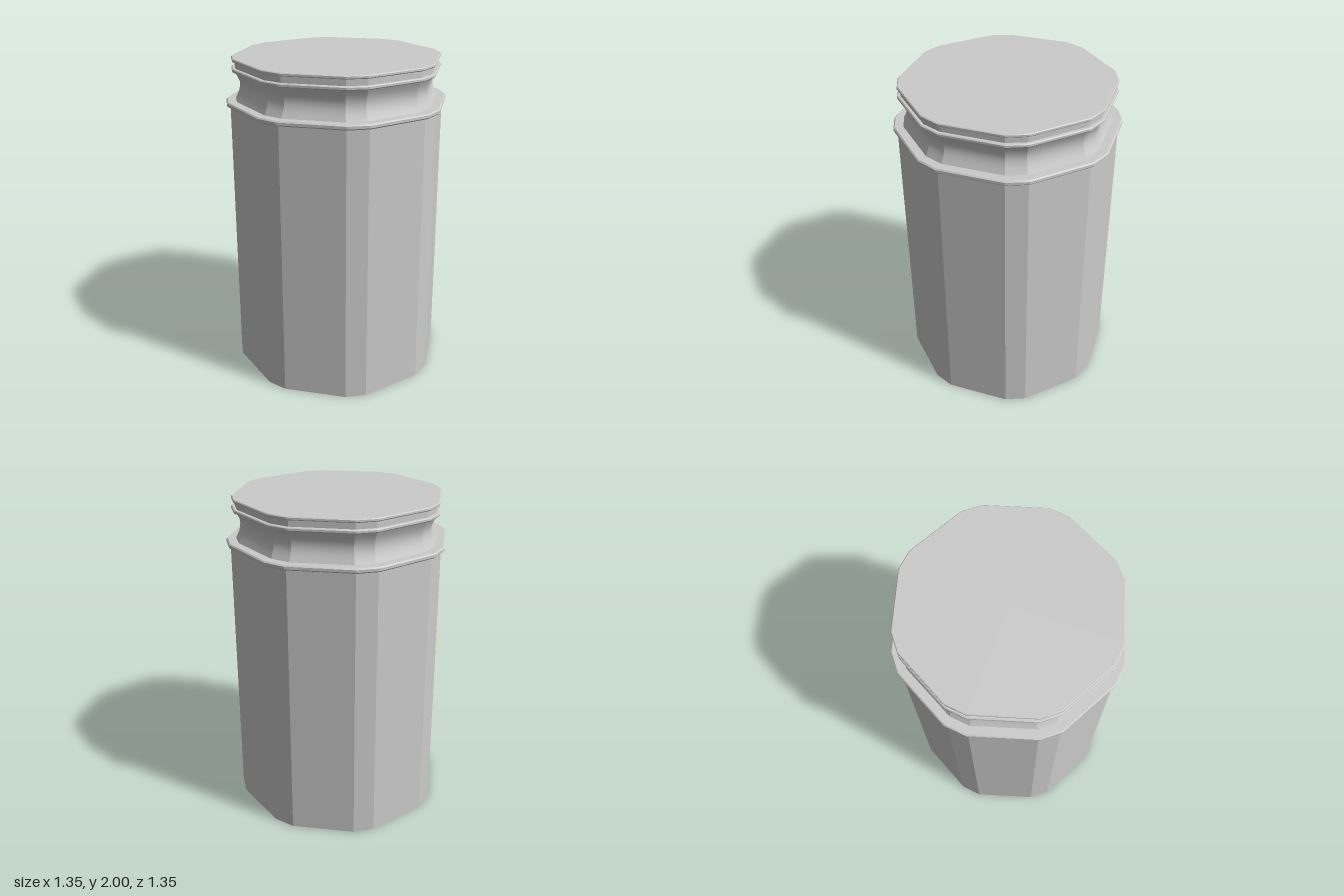
import * as THREE from 'three';
import { toCreasedNormals } from 'three/addons/utils/BufferGeometryUtils.js';

const HALF = THREE.MathUtils.degToRad(5.6); // half angle of each narrow facet
const material = new THREE.MeshStandardMaterial({ color: 0xcccccc, side: THREE.DoubleSide });

// Sweep a [radius, y] profile around an octagon with clipped corners (16 sides).
// Radii are measured to the middle of the narrow facets.
function facetedShell(name, profile) {
  const points = profile.map(([r, y]) => new THREE.Vector2(r / Math.cos(HALF), y));
  const geometry = new THREE.LatheGeometry(points, 16);
  const pos = geometry.attributes.position;
  for (let i = 0; i <= 16; i++) {
    const angle = Math.ceil(i / 2) * Math.PI / 4 + (i % 2 ? -HALF : HALF);
    points.forEach((p, j) => {
      pos.setXYZ(i * points.length + j, p.x * Math.sin(angle), p.y, p.x * Math.cos(angle));
    });
  }
  const mesh = new THREE.Mesh(toCreasedNormals(geometry, 0.3), material);
  mesh.name = name;
  return mesh;
}

// Small bead with bevelled edges, from inner radius r0 out to r1
function bead(name, r0, r1, y0, y1, r2 = r0) {
  const b = (y1 - y0) * 0.25;
  return facetedShell(name, [
    [r0, y0], [r1 - b, y0], [r1, y0 + b], [r1, y1 - b], [r1 - b, y1], [r2, y1],
  ]);
}

export function createModel() {
  const group = new THREE.Group();
  group.name = 'jar';

  // Tapered body, open underneath
  group.add(facetedShell('body', [[0.665, 0], [0.65, 1.72]]));

  // Shoulder bead and ledge
  group.add(bead('shoulderRing', 0.65, 0.673, 1.715, 1.745, 0.613));

  // Concave neck
  const neck = [];
  for (let i = 0; i <= 10; i++) {
    const t = i / 10;
    neck.push([0.615 - 0.029 * Math.sin(Math.PI * t), 1.745 + 0.175 * t]);
  }
  group.add(facetedShell('neck', neck));

  // Lid: lower bead, recessed band, upper bead and flat top
  group.add(bead('lidLowerRing', 0.613, 0.633, 1.92, 1.942));
  group.add(facetedShell('lidBand', [[0.613, 1.942], [0.613, 1.98]]));
  group.add(bead('lidTop', 0.613, 0.631, 1.98, 2, 0));

  return group;
}
